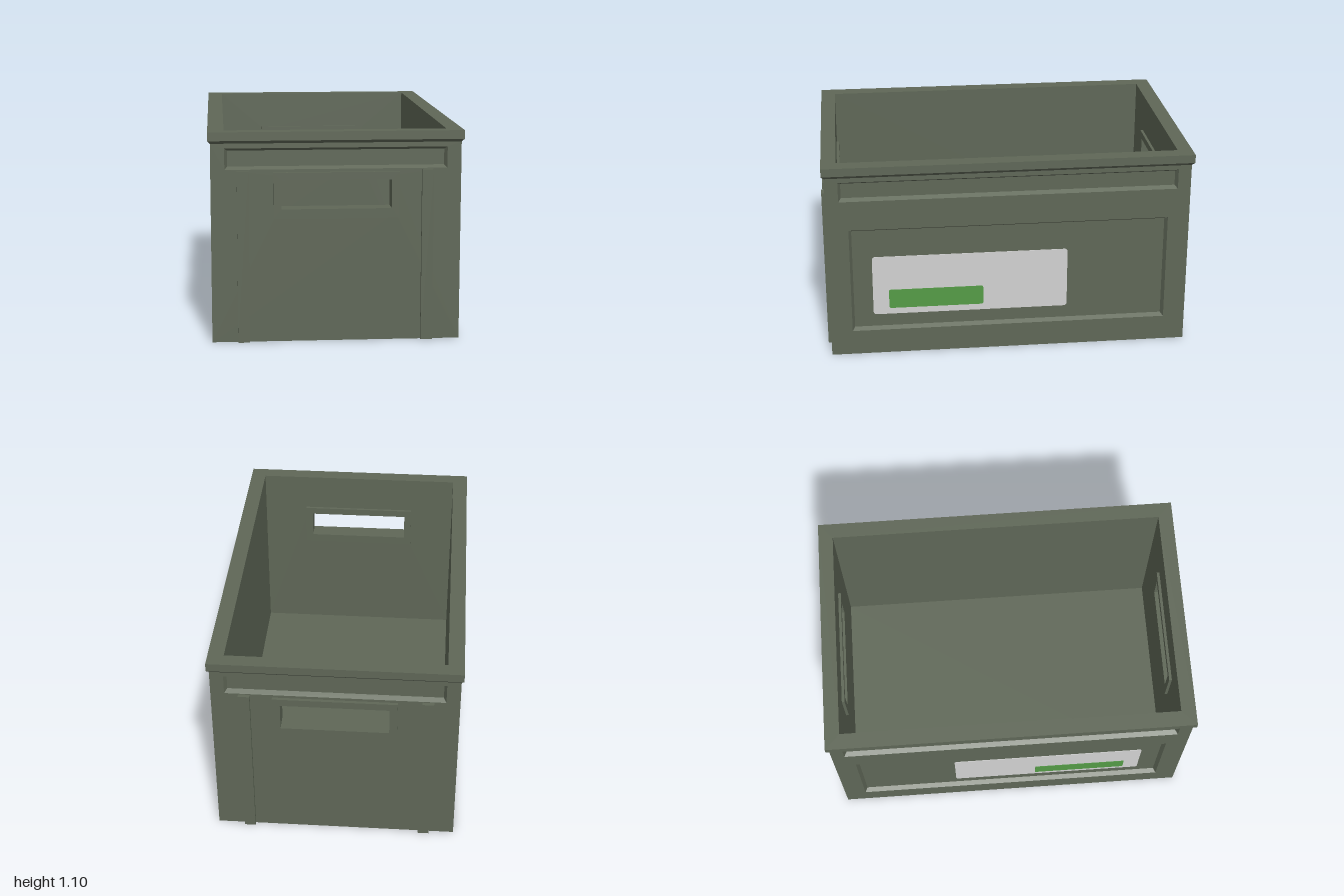
import * as THREE from 'three';

const bodyMat = new THREE.MeshStandardMaterial({ color: 0x5f6757, flatShading: true });
bodyMat.name = 'olive plastic';
const labelMat = new THREE.MeshStandardMaterial({ color: 0xd2d2d2 });
labelMat.name = 'light grey label';
const greenMat = new THREE.MeshStandardMaterial({ color: 0x549b46 });
greenMat.name = 'green label patch';

// Half sizes of the tub: outside and inside
const OX = 0.645, OZ = 0.98, IX = 0.574, IZ = 0.915;
const WALL_TOP = 1.04, TOP = 1.1, FLOOR = 0.07, DEPTH = 0.025;

function add(parent, name, geometry, material = bodyMat) {
  const mesh = new THREE.Mesh(geometry, material);
  mesh.name = name;
  parent.add(mesh);
  return mesh;
}

// Counter-clockwise rectangle, optionally with rounded corners
function rect(Type, x0, x1, y0, y1, r = 0) {
  const s = new Type();
  if (!r) {
    s.moveTo(x0, y0).lineTo(x1, y0).lineTo(x1, y1).lineTo(x0, y1).closePath();
    return s;
  }
  s.absarc(x1 - r, y0 + r, r, -Math.PI / 2, 0);
  s.absarc(x1 - r, y1 - r, r, 0, Math.PI / 2);
  s.absarc(x0 + r, y1 - r, r, Math.PI / 2, Math.PI);
  s.absarc(x0 + r, y0 + r, r, Math.PI, Math.PI * 1.5);
  s.closePath();
  return s;
}

// Skin through centred rectangles [halfX, halfY, z]; cap closes the last one
function loft(levels, cap) {
  const signs = [[-1, -1], [1, -1], [1, 1], [-1, 1]];
  const loops = levels.map(([w, h, z]) => signs.map(([sx, sy]) => [sx * w, sy * h, z]));
  const p = [];
  const quad = (a, b, c, d) => p.push(...a, ...b, ...c, ...a, ...c, ...d);
  for (let k = 0; k + 1 < loops.length; k++) {
    for (let i = 0; i < 4; i++) {
      const j = (i + 1) % 4;
      quad(loops[k][i], loops[k][j], loops[k + 1][j], loops[k + 1][i]);
    }
  }
  if (cap) quad(...loops[loops.length - 1]);
  const g = new THREE.BufferGeometry();
  g.setAttribute('position', new THREE.Float32BufferAttribute(p, 3));
  g.computeVertexNormals();
  return g;
}

// One wall facing local +z: outer face with bevelled recesses, and inner face
function makeWall(name, halfOut, halfIn, out, inn, recesses, hole) {
  const wall = new THREE.Group();
  wall.name = name;
  const outer = rect(THREE.Shape, -halfOut, halfOut, 0, WALL_TOP);
  const inner = rect(THREE.Shape, -halfIn, halfIn, FLOOR, TOP);
  if (hole) for (const s of [outer, inner]) s.holes.push(rect(THREE.Path, ...hole));
  for (const { label, half, y0, y1 } of recesses) {
    outer.holes.push(rect(THREE.Path, -half, half, y0, y1));
    const h = (y1 - y0) / 2, bevel = 0.014;
    const recess = add(wall, label, loft([[half, h, 0], [half - bevel, h - bevel, -DEPTH]], true));
    recess.position.set(0, (y0 + y1) / 2, out);
  }
  add(wall, 'outerFace', new THREE.ShapeGeometry(outer)).position.z = out;
  const inside = add(wall, 'innerFace', new THREE.ShapeGeometry(inner));
  inside.position.z = inn;
  inside.rotation.y = Math.PI;
  return wall;
}

// End wall: top groove, framed handle opening and two ribs
function makeEnd(name, side) {
  const groove = { label: 'topGroove', half: 0.573, y0: 0.905, y1: 1.015 };
  const wall = makeWall(name, OX, IX, OZ, IZ, [groove], [-0.305, 0.305, 0.675, 0.87]);
  const frame = rect(THREE.Shape, -0.325, 0.325, 0.65, 0.89);
  frame.holes.push(rect(THREE.Path, -0.284, 0.284, 0.7, 0.85));
  const z0 = 0.9, z1 = 0.997;
  add(wall, 'handleFrame', new THREE.ExtrudeGeometry(frame, { depth: z1 - z0, bevelEnabled: false })).position.z = z0;
  for (const x of [-0.481, 0.471]) {
    const rib = add(wall, 'rib', new THREE.BoxGeometry(0.06, 0.9, 0.03));
    rib.position.set(x * side, 0.45, 0.985);
  }
  return wall;
}

// Long wall: top groove, large panel and a label with a coloured patch
function makeLongSide(name, side) {
  const wall = makeWall(name, OZ, IZ, OX, IX, [
    { label: 'topGroove', half: 0.91, y0: 0.905, y1: 1.015 },
    { label: 'sidePanel', half: 0.863, y0: 0.14, y1: 0.74 },
  ]);
  const plate = (label, z0, z1, y0, y1, r, lift, mat) => {
    const xs = [-side * z0, -side * z1].sort((a, b) => a - b);
    const g = new THREE.ExtrudeGeometry(rect(THREE.Shape, ...xs, y0, y1, r), { depth: 0.003, bevelEnabled: false });
    add(wall, label, g, mat).position.z = OX - DEPTH + lift;
  };
  plate('label', -0.32, 0.745, 0.225, 0.568, 0.016, 0, labelMat);
  plate('labelPatch', 0.143, 0.658, 0.26, 0.37, 0.01, 0.002, greenMat);
  return wall;
}

export function createModel() {
  const crate = new THREE.Group();
  crate.name = 'storageCrate';

  // Four walls, each turned to its side
  const walls = [
    makeEnd('frontWall', 1), makeLongSide('leftWall', 1),
    makeEnd('backWall', -1), makeLongSide('rightWall', -1),
  ];
  walls.forEach((wall, i) => {
    wall.rotation.y = i * Math.PI / 2;
    crate.add(wall);
  });

  // Rim with a chamfered underside
  const rim = add(crate, 'rim', loft([
    [OX, OZ, WALL_TOP], [0.658, 0.995, 1.055], [0.658, 0.995, TOP], [IX, IZ, TOP],
  ], false));
  rim.rotation.x = -Math.PI / 2;

  // Base underside and inside floor
  const underside = add(crate, 'underside', new THREE.PlaneGeometry(OX * 2, OZ * 2));
  underside.rotation.x = Math.PI / 2;
  const floor = add(crate, 'floor', new THREE.PlaneGeometry(IX * 2, IZ * 2));
  floor.rotation.x = -Math.PI / 2;
  floor.position.y = FLOOR;

  return crate;
}
